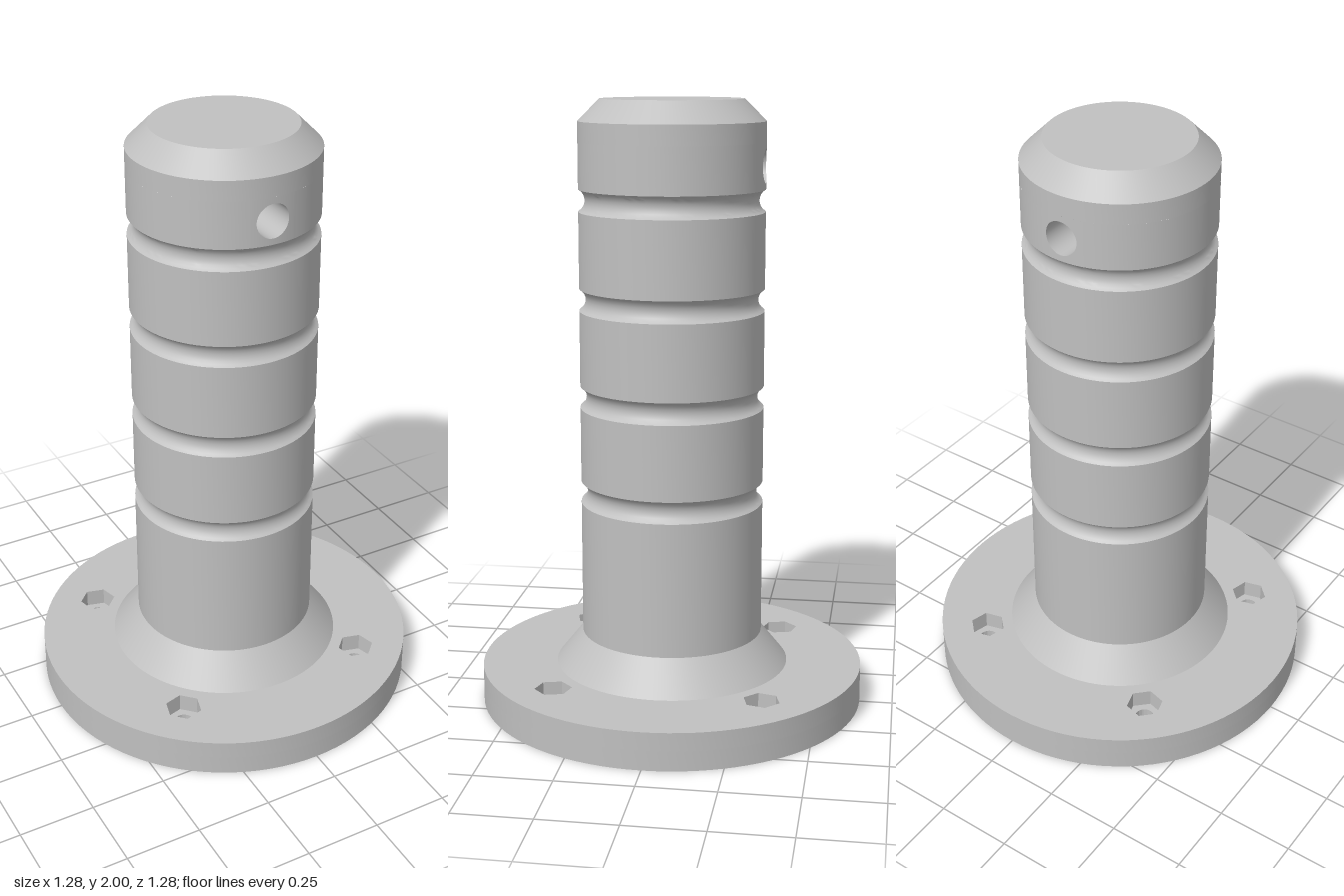
import * as THREE from 'three';
import { toCreasedNormals } from 'three/addons/utils/BufferGeometryUtils.js';
import { ParametricGeometry } from 'three/addons/geometries/ParametricGeometry.js';

const R = 0.302;            // column radius
const HOLE_R = 0.055;       // cross hole radius
const HOLE_Y = 1.79;        // cross hole height
const PATCH = 0.075;        // half size of the wall patch around the hole
const SEG = 96;

export function createModel() {
  const group = new THREE.Group();
  const metal = new THREE.MeshStandardMaterial({ color: 0xc0c0c0 });
  metal.name = 'plainGrey';

  const add = (name, geometry) => {
    const mesh = new THREE.Mesh(geometry, metal);
    mesh.name = name;
    group.add(mesh);
    return mesh;
  };
  const lathe = (pts, segs = SEG, start = 0, length = Math.PI * 2) =>
    toCreasedNormals(new THREE.LatheGeometry(pts.map(p => new THREE.Vector2(...p)), segs, start, length), 0.4);

  // Flange: lower layer with round bolt holes, upper layer with hexagonal nut pockets
  const flangeLayer = (name, y, height, makeHole) => {
    const shape = new THREE.Shape().absarc(0, 0, 0.64, 0, Math.PI * 2, false);
    for (let k = 0; k < 4; k++) {
      const a = Math.PI / 4 + k * Math.PI / 2;
      shape.holes.push(makeHole(0.48 * Math.cos(a), 0.48 * Math.sin(a), a));
    }
    const geo = new THREE.ExtrudeGeometry(shape, { depth: height, bevelEnabled: false, curveSegments: 48 });
    geo.rotateX(-Math.PI / 2).translate(0, y, 0);
    add(name, toCreasedNormals(geo, 0.4));
  };
  flangeLayer('flangeLower', 0, 0.065, (x, y) => new THREE.Path().absarc(x, y, 0.031, 0, Math.PI * 2, true));
  flangeLayer('flangeUpper', 0.065, 0.06, (x, y, a) => {
    const pts = [];
    for (let i = 0; i <= 6; i++) {
      const t = a + Math.PI / 6 - i * Math.PI / 3;
      pts.push(new THREE.Vector2(x + 0.061 * Math.cos(t), y + 0.061 * Math.sin(t)));
    }
    return new THREE.Path(pts);
  });

  // Column: flared foot, straight shaft and four round-bottomed grooves
  const profile = [[0.39, 0.125], [R, 0.235]];
  const half = 0.036, depth = 0.021;
  const arcR = (half * half + depth * depth) / (2 * depth);
  const sweep = Math.asin(half / arcR);
  for (let g = 0; g < 4; g++) {
    const cy = 0.718 + g * 0.3205;
    for (let i = 0; i <= 8; i++) {
      const t = -sweep + (2 * sweep * i) / 8;
      profile.push([R - depth + arcR * (1 - Math.cos(t)), cy + arcR * Math.sin(t)]);
    }
  }
  profile.push([R, HOLE_Y - PATCH]);
  add('column', lathe(profile));

  // Head: chamfered top above the drilled band
  add('head', lathe([[R, HOLE_Y + PATCH], [R, 1.93], [0.232, 2], [0, 2]]));

  // Drilled band: two plain arcs and two patches that surround the hole mouths
  const edge = Math.asin(PATCH / R);
  const wall = x => Math.sqrt(R * R - x * x);
  for (const side of [0, 1]) {
    add('bandSide', lathe([[R, HOLE_Y - PATCH], [R, HOLE_Y + PATCH]], SEG / 2,
      edge + side * Math.PI, Math.PI - 2 * edge));

    const patch = new ParametricGeometry((u, v, out) => {
      const c = Math.cos(u * Math.PI * 2), s = Math.sin(u * Math.PI * 2);
      const square = PATCH / Math.max(Math.abs(c), Math.abs(s));
      const r = THREE.MathUtils.lerp(square, HOLE_R, v);
      out.set(r * c, HOLE_Y + r * s, wall(r * c));
    }, 48, 4);
    add('holeSurround', patch).rotation.y = side * Math.PI;
  }

  // Bore running straight through the head from front to back
  add('crossHole', new ParametricGeometry((u, v, out) => {
    const x = HOLE_R * Math.cos(u * Math.PI * 2);
    out.set(x, HOLE_Y + HOLE_R * Math.sin(u * Math.PI * 2), wall(x) * (1 - 2 * v));
  }, 48, 2));

  return group;
}
